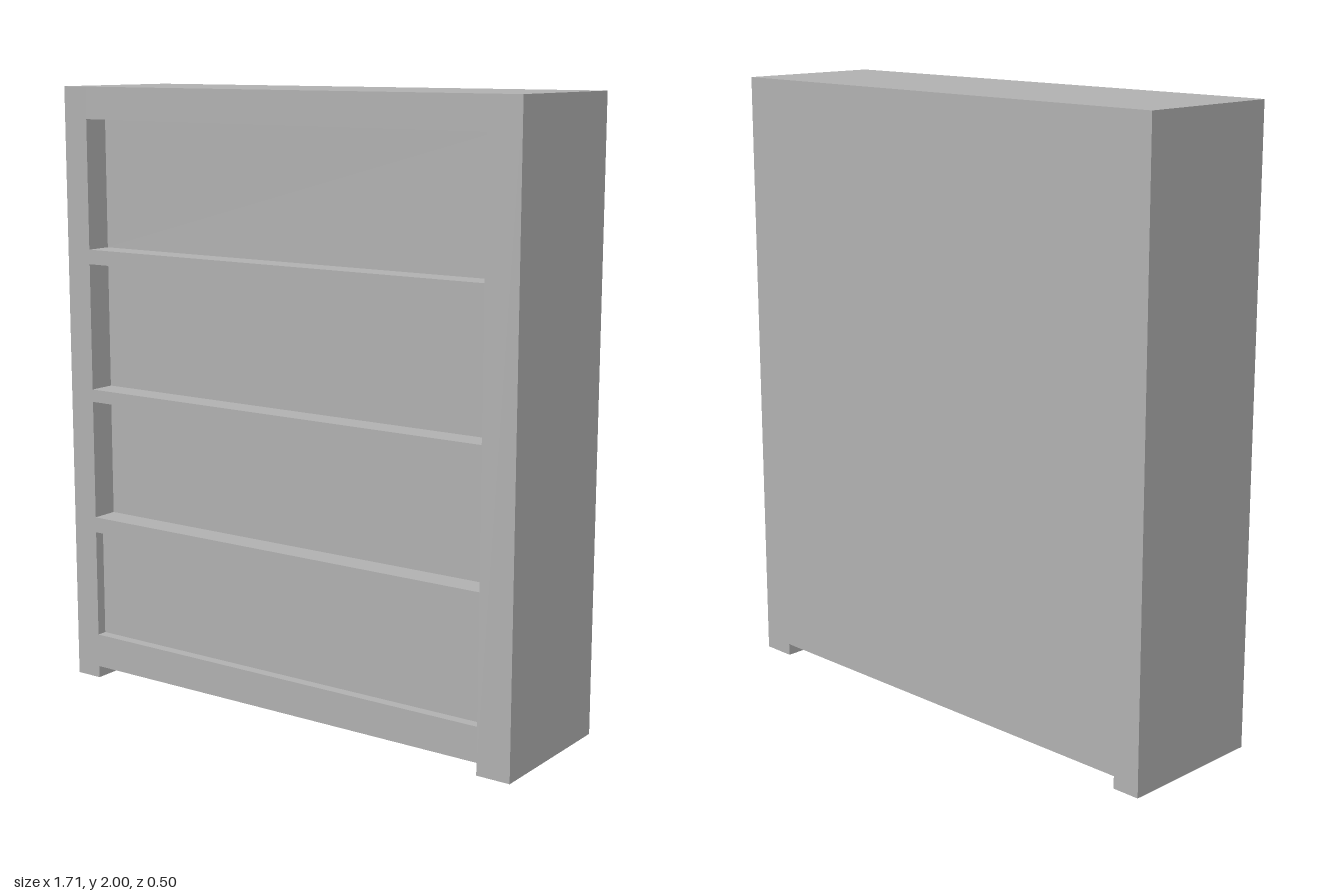
import * as THREE from 'three';

const HALF_W = 0.855, HALF_D = 0.25;
const INNER_RIGHT = -0.762, INNER_LEFT = 0.741;
const BASE = 0.04, TOP = 2;

// Recessed bays from bottom to top: floor, ceiling, depth of the recess
const BAYS = [
  { y0: 0.153, y1: 0.514, depth: 0.034 },
  { y0: 0.566, y1: 0.963, depth: 0.09 },
  { y0: 1.005, y1: 1.424, depth: 0.09 },
  { y0: 1.472, y1: 1.896, depth: 0.09 },
];

export function createModel() {
  const group = new THREE.Group();
  group.name = 'bookcase';
  const paint = new THREE.MeshStandardMaterial({ color: 0xb0b0b0 });
  paint.name = 'plain grey';

  // Box given by its limits; every part starts at the back plane
  function slab(name, x0, x1, y0, y1, zFront = HALF_D) {
    const mesh = new THREE.Mesh(new THREE.BoxGeometry(x1 - x0, y1 - y0, zFront + HALF_D), paint);
    mesh.position.set((x0 + x1) / 2, (y0 + y1) / 2, (zFront - HALF_D) / 2);
    mesh.name = name;
    group.add(mesh);
  }

  // Side panels reach the floor and form the feet
  slab('rightSide', -HALF_W, INNER_RIGHT, 0, TOP);
  slab('leftSide', INNER_LEFT, HALF_W, 0, TOP);

  // Shelves alternate with the recessed back panels
  let y = BASE;
  BAYS.forEach((bay, i) => {
    slab(i === 0 ? 'plinth' : `shelf${i}`, INNER_RIGHT, INNER_LEFT, y, bay.y0);
    slab(`backPanel${i + 1}`, INNER_RIGHT, INNER_LEFT, bay.y0, bay.y1, HALF_D - bay.depth);
    y = bay.y1;
  });
  slab('topBoard', INNER_RIGHT, INNER_LEFT, y, TOP);

  return group;
}
